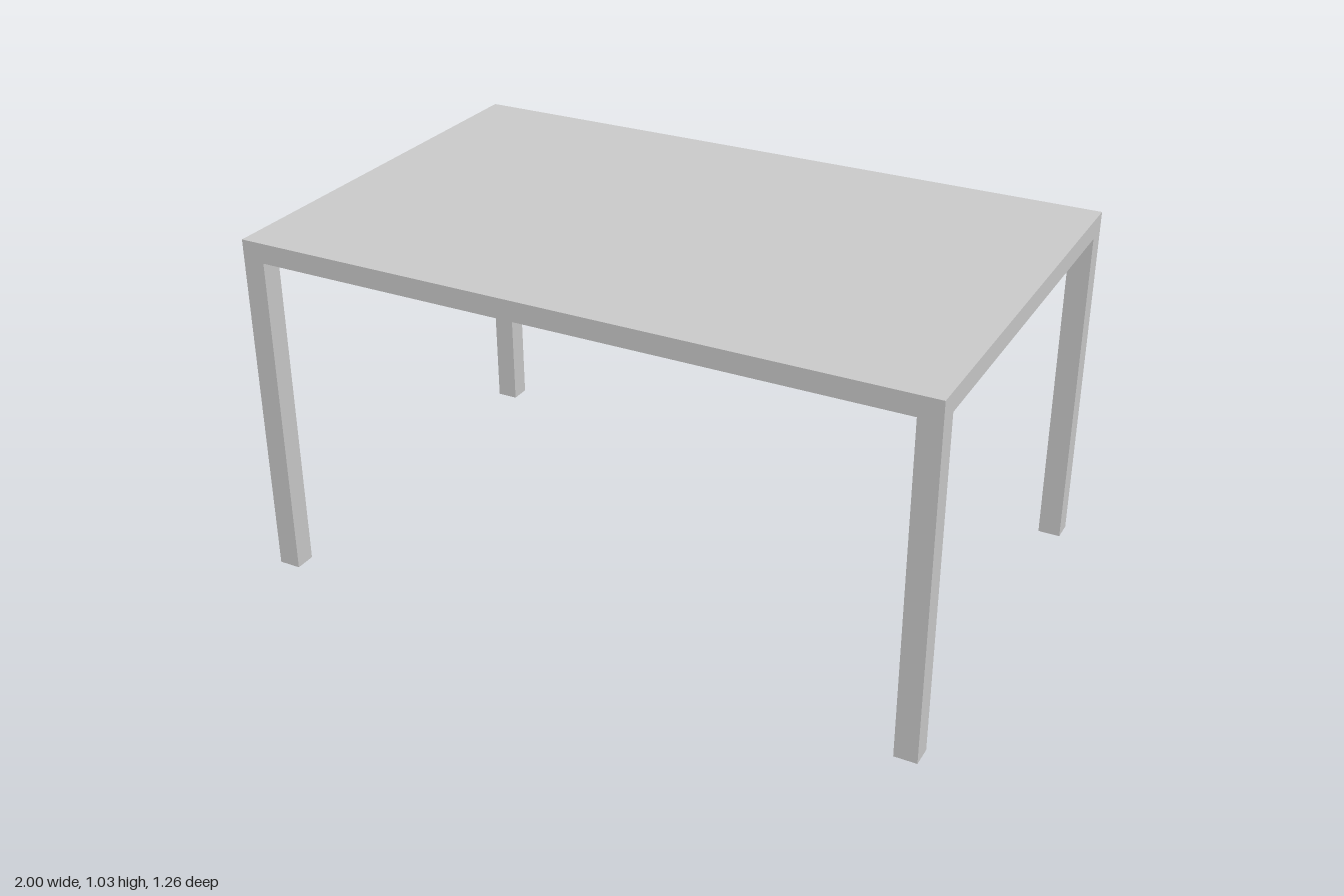
import * as THREE from 'three';

const WIDTH = 2, DEPTH = 1.26, HEIGHT = 1.032;
const TOP = 0.058;              // tabletop thickness
const LEG_X = 0.065, LEG_Z = 0.062;

export function createModel() {
  const table = new THREE.Group();
  table.name = 'table';
  const material = new THREE.MeshStandardMaterial({ color: 0xcccccc, flatShading: true });

  const addBox = (name, w, h, d, x, y, z) => {
    const mesh = new THREE.Mesh(new THREE.BoxGeometry(w, h, d), material);
    mesh.name = name;
    mesh.position.set(x, y, z);
    table.add(mesh);
  };

  // Solid slab
  addBox('tabletop', WIDTH, TOP, DEPTH, 0, HEIGHT - TOP / 2, 0);

  // Four square legs, flush with the corners
  const legHeight = HEIGHT - TOP;
  for (const [sideName, sx] of [['Left', 1], ['Right', -1]]) {
    for (const [endName, sz] of [['front', 1], ['back', -1]]) {
      addBox(`${endName}${sideName}Leg`, LEG_X, legHeight, LEG_Z,
        sx * (WIDTH - LEG_X) / 2, legHeight / 2, sz * (DEPTH - LEG_Z) / 2);
    }
  }
  return table;
}
